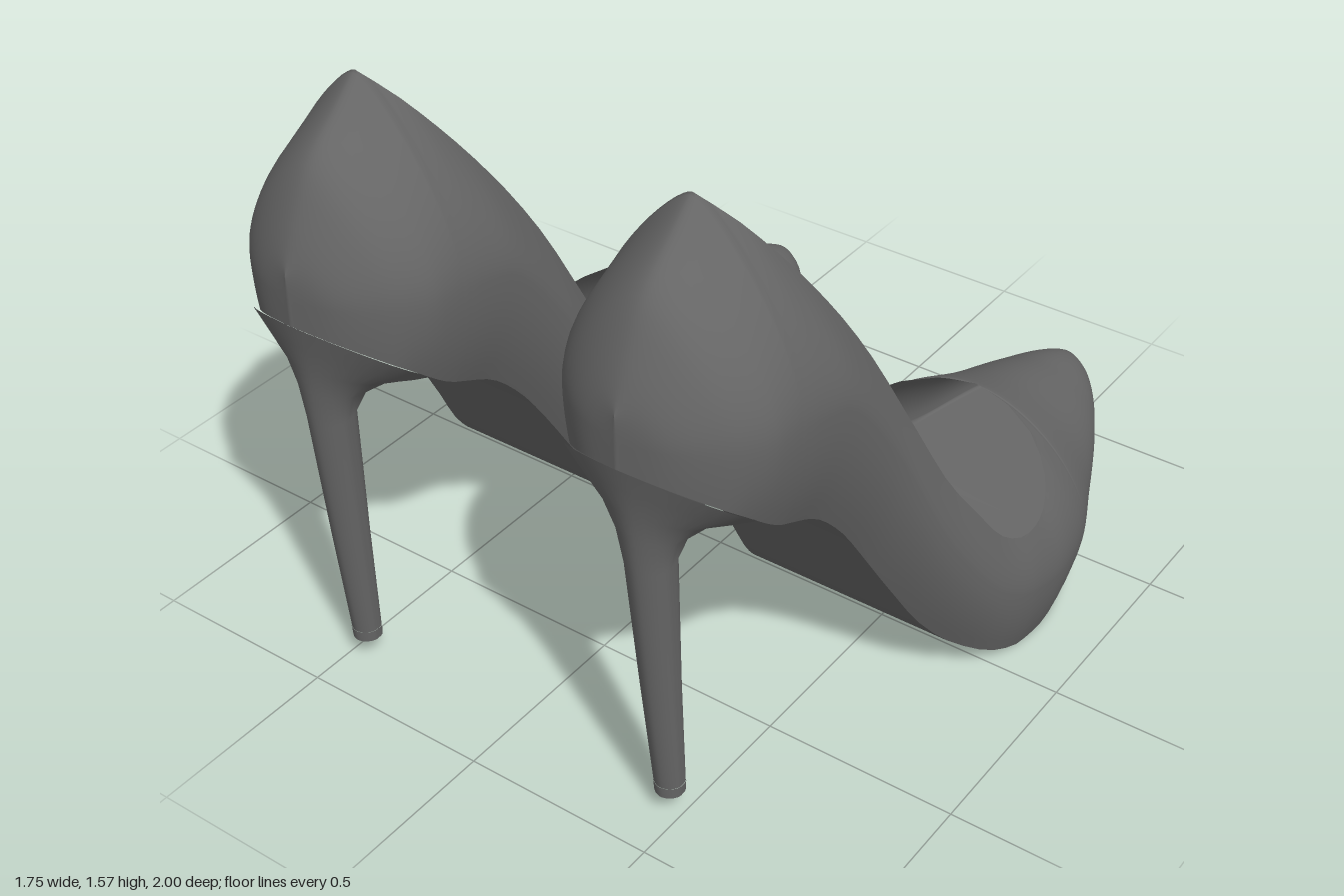
import * as THREE from 'three';
import { mergeVertices } from 'three/addons/utils/BufferGeometryUtils.js';

const material = new THREE.MeshStandardMaterial({ color: 0x666666 });

// Smooth monotone curve through [z, value] keys; a repeated z makes a sharp corner.
function curve(keys) {
  const slope = (i) => (keys[i + 1][1] - keys[i][1]) / (keys[i + 1][0] - keys[i][0]);
  const tangent = (i) => {
    const a = i > 0 ? slope(i - 1) : NaN;
    const b = i < keys.length - 1 ? slope(i) : NaN;
    if (!Number.isFinite(a)) return b;
    if (!Number.isFinite(b)) return a;
    return a * b <= 0 ? 0 : (2 * a * b) / (a + b);
  };
  return (z) => {
    let i = 0;
    while (i < keys.length - 2 && z > keys[i + 1][0]) i++;
    const [z0, v0] = keys[i], [z1, v1] = keys[i + 1];
    const h = z1 - z0, t = Math.min(1, Math.max(0, (z - z0) / h)), t2 = t * t, t3 = t2 * t;
    return (2 * t3 - 3 * t2 + 1) * v0 + (t3 - 2 * t2 + t) * h * tangent(i)
      + (3 * t2 - 2 * t3) * v1 + (t3 - t2) * h * tangent(i + 1);
  };
}

// Shoe measurements along its length, toe at -z and heel at +z.
const centre = curve([[-1, 0.476], [-0.2, 0.48], [0.2, 0.471], [0.4, 0.456], [0.8, 0.45], [1, 0.45]]);
const soleY = curve([[-1, 0.195], [-0.97, 0.175], [-0.8, 0.13], [-0.5, 0.06], [-0.3, 0.012], [-0.2, 0],
  [-0.1, 0.012], [0, 0.045], [0.1, 0.11], [0.2, 0.22], [0.3, 0.38], [0.4, 0.54], [0.5, 0.675],
  [0.6, 0.77], [0.7, 0.826], [0.75, 0.853], [0.87, 0.948], [1, 1.05]]);
const soleHalf = curve([[-1, 0], [-0.985, 0.035], [-0.95, 0.075], [-0.8, 0.17], [-0.6, 0.262], [-0.4, 0.337],
  [-0.2, 0.363], [-0.1, 0.363], [0, 0.345], [0.1, 0.295], [0.2, 0.255], [0.3, 0.228], [0.4, 0.216],
  [0.6, 0.222], [0.78, 0.232], [0.88, 0.212], [0.94, 0.158], [0.98, 0.088], [1, 0]]);
const bulgeY = curve([[-1, 0.21], [-0.8, 0.17], [-0.6, 0.13], [-0.3, 0.14], [-0.1, 0.19], [0, 0.24],
  [0.2, 0.48], [0.4, 0.86], [0.6, 1.08], [0.8, 1.11], [1, 1.12]]);
const bulgeHalf = curve([[-1, 0], [-0.985, 0.045], [-0.95, 0.09], [-0.8, 0.188], [-0.6, 0.28], [-0.4, 0.36],
  [-0.2, 0.391], [-0.1, 0.395], [0, 0.386], [0.2, 0.339], [0.4, 0.297], [0.6, 0.285], [0.8, 0.27],
  [0.88, 0.23], [0.94, 0.168], [0.98, 0.094], [1, 0]]);
const rimY = curve([[-1, 0.225], [-0.975, 0.26], [-0.8, 0.32], [-0.6, 0.385], [-0.455, 0.445],
  [-0.455, 0.445], [-0.44, 0.432], [-0.4, 0.403], [-0.35, 0.367], [-0.3, 0.337], [-0.23, 0.315],
  [-0.1, 0.34], [0, 0.4], [0.1, 0.525], [0.2, 0.67], [0.3, 0.87], [0.4, 1.08], [0.5, 1.25], [0.68, 1.505],
  [0.73, 1.57], [0.73, 1.57], [0.8, 1.505], [0.9, 1.41], [0.96, 1.29], [1, 1.18]]);
const rimHalf = curve([[-1, 0], [-0.455, 0], [-0.455, 0], [-0.44, 0.1], [-0.4, 0.195], [-0.35, 0.258],
  [-0.3, 0.298], [-0.2, 0.335], [-0.1, 0.35], [0, 0.345], [0.2, 0.3], [0.3, 0.268], [0.4, 0.227],
  [0.5, 0.185], [0.6, 0.135], [0.68, 0.075], [0.73, 0], [0.73, 0], [1, 0]]);
const crown = curve([[-1, 0.5], [-0.3, 0.5], [0.1, 0.3], [0.5, 0.15], [0.73, 0.15], [1, 0.4]]);

// Stations: dense at the rounded ends, with the ends of the opening included.
const stations = [-0.455, -0.453, -0.45, -0.445, 0.715, 0.73];
for (let i = 0; i <= 76; i++) stations.push(Math.sin((Math.PI / 2) * (i / 38 - 1)));
stations.sort((a, b) => a - b);

// Joins equal-length rows of points into a smooth surface; null leaves a gap in a row.
function skin(name, rows) {
  const n = rows[0].length, position = [], index = [];
  rows.forEach((row) => row.forEach((p) => position.push(...(p || [0, 0, 0]))));
  for (let i = 0; i < rows.length - 1; i++) {
    for (let j = 0; j < n - 1; j++) {
      if (!rows[i][j] || !rows[i][j + 1]) continue;
      const a = i * n + j, b = a + n;
      index.push(a, a + 1, b, a + 1, b + 1, b);
    }
  }
  let geometry = new THREE.BufferGeometry();
  geometry.setAttribute('position', new THREE.Float32BufferAttribute(position, 3));
  geometry.setIndex(index);
  geometry = mergeVertices(geometry, 1e-4);
  geometry.computeVertexNormals();
  const mesh = new THREE.Mesh(geometry, material);
  mesh.name = name;
  return mesh;
}

// One side of a cross-section: sole edge, bulge, then a dome that the opening cuts off at the rim.
function wall(z, inset) {
  const y0 = soleY(z), top = rimY(z), r = rimHalf(z), k = crown(z);
  const w = Math.max(0, bulgeHalf(z) - inset);
  const base = y0 + (inset ? Math.min(0.03, 0.3 * (top - y0)) : 0);
  const mid = Math.max(base, bulgeY(z));
  const v = (x, y) => new THREE.Vector2(x, y);
  const points = new THREE.QuadraticBezierCurve(
    v(Math.min(soleHalf(z), w), base), v(w, (base + mid) / 2), v(w, mid)).getPoints(6);

  // Dome of unit height; find where it meets the rim and scale it to the rim's height
  const dome = new THREE.CubicBezierCurve(v(w, 0), v(w, 0.45), v(k * w, 1), v(0, 1));
  let low = 0, end = 1;
  for (let i = 0; r > 0 && i < 30; i++) {
    const t = (low + end) / 2;
    if (dome.getPoint(t).x > r) low = t; else end = t;
  }
  const height = (top - mid) / dome.getPoint(end).y;
  for (let i = 1; i <= 16; i++) {
    const p = dome.getPoint((end * i) / 16);
    points.push(v(p.x, mid + height * p.y));
  }
  return points;
}

// D-shaped ring of the heel, sloping from its back edge to its front edge.
function heelRing([yBack, yFront, zBack, zFront, half, cx], side) {
  const ring = [], count = 32, power = (v, p) => Math.sign(v) * Math.abs(v) ** p;
  for (let i = 0; i <= count; i++) {
    const a = (i % count) / count * Math.PI * 2, s = Math.sin(a), p = s < 0 ? 0.55 : 1.15;
    const t = 0.5 + 0.5 * power(s, p);
    ring.push([side * cx + half * power(Math.cos(a), p),
      THREE.MathUtils.lerp(yFront, yBack, t), THREE.MathUtils.lerp(zFront, zBack, t)]);
  }
  return ring;
}

function makeShoe(side) {
  const shoe = new THREE.Group();
  shoe.name = side > 0 ? 'leftShoe' : 'rightShoe';
  const place = (z, sign) => (p) => [side * centre(z) + sign * p.x, p.y, z];

  // Outer wall, closed over the toe and behind the heel
  shoe.add(skin('upper', stations.map((z) => {
    const half = wall(z, 0);
    return [...half.map(place(z, 1)), null, ...[...half].reverse().map(place(z, -1))];
  })));

  // Inner wall and footbed
  shoe.add(skin('lining', stations.map((z) => {
    const half = wall(z, 0.012);
    return [...[...half].reverse().map(place(z, 1)), ...half.map(place(z, -1))];
  })));

  // Flat underside
  shoe.add(skin('sole', stations.map((z) => {
    const row = [];
    for (let i = 0; i <= 6; i++) row.push([side * centre(z) + soleHalf(z) * (i / 3 - 1), soleY(z), z]);
    return row;
  })));

  // Stiletto heel: flared seat narrowing into a slim stem
  const rings = [
    [1.05, 0.845, 1, 0.74, 0.228, 0.45],
    [0.99, 0.84, 0.987, 0.765, 0.185, 0.45],
    [0.92, 0.832, 0.975, 0.8, 0.118, 0.452],
    [0.85, 0.815, 0.967, 0.835, 0.078, 0.455],
    [0.75, 0.77, 0.957, 0.856, 0.058, 0.457],
    [0.4, 0.4, 0.923, 0.842, 0.046, 0.46],
    [0.09, 0.09, 0.889, 0.827, 0.037, 0.463],
  ];
  shoe.add(skin('heel', rings.map((r) => heelRing(r, side))));

  // Small heel tip with its ground face
  const tip = [0.09, 0.09, 0.89, 0.826, 0.038, 0.463], foot = [0.06, 0.06, 0.888, 0.826, 0.036, 0.463];
  shoe.add(skin('heelTip', [tip, foot].map((r) => heelRing(r, side))));
  const face = heelRing(foot, side);
  shoe.add(skin('heelTipFace', [face, face.map(() => [side * 0.463, 0.06, 0.857])]));
  return shoe;
}

export function createModel() {
  const model = new THREE.Group();
  model.name = 'highHeels';
  for (const side of [1, -1]) model.add(makeShoe(side));
  return model;
}
